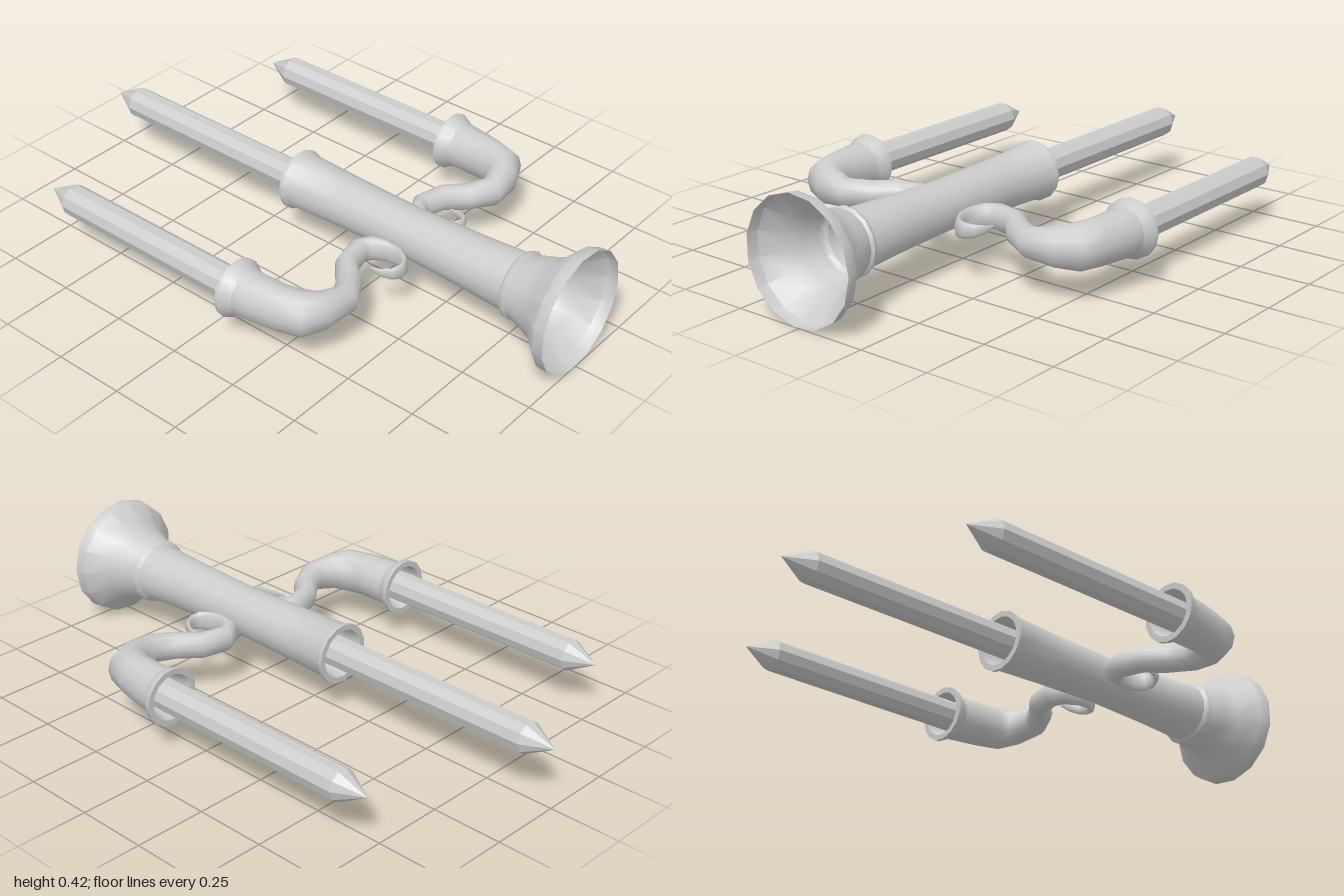
import * as THREE from 'three';
import { toCreasedNormals } from 'three/addons/utils/BufferGeometryUtils.js';

const smooth = new THREE.MeshStandardMaterial({ color: 0xcccccc, side: THREE.DoubleSide });
const faceted = new THREE.MeshStandardMaterial({ color: 0xcccccc, side: THREE.DoubleSide, flatShading: true });

// Turned part lying along z; profile is a list of [radius, z]
function turned(name, profile, sides, material = smooth) {
  const points = profile.map(([r, z]) => new THREE.Vector2(r, -z));
  let geometry = new THREE.LatheGeometry(points, sides, Math.PI / 2);
  geometry.rotateX(-Math.PI / 2);
  if (material === smooth) geometry = toCreasedNormals(geometry, 0.7);
  const mesh = new THREE.Mesh(geometry, material);
  mesh.name = name;
  return mesh;
}

// Candle: open tube with a pointed tip
function candle(name, base, shoulder, tip) {
  return turned(name, [[0.054, base], [0.054, shoulder], [0, tip]], 10, faceted);
}

// Oval tube along a path in the xz plane; stations are [x, z, half width, half height]
function sweep(name, stations, sides) {
  const positions = [], index = [];
  stations.forEach(([x, z, w, h], i) => {
    const a = stations[Math.max(i - 1, 0)];
    const b = stations[Math.min(i + 1, stations.length - 1)];
    const dx = b[0] - a[0], dz = b[1] - a[1], len = Math.hypot(dx, dz);
    for (let j = 0; j < sides; j++) {
      const t = (j / sides) * Math.PI * 2;
      const s = (Math.cos(t) * w) / len;
      positions.push(x + dz * s, Math.sin(t) * h, z - dx * s);
      if (i === 0) continue;
      const k = (j + 1) % sides, p = (i - 1) * sides, q = i * sides;
      index.push(p + j, p + k, q + j, p + k, q + k, q + j);
    }
  });
  const geometry = new THREE.BufferGeometry();
  geometry.setAttribute('position', new THREE.Float32BufferAttribute(positions, 3));
  geometry.setIndex(index);
  geometry.computeVertexNormals();
  const mesh = new THREE.Mesh(geometry, smooth);
  mesh.name = name;
  return mesh;
}

function createArm(name) {
  const arm = new THREE.Group();
  arm.name = name;

  // S-shaped branch from the cup to the flattened, curled end
  arm.add(sweep('branch', [
    [0.555, 0.13, 0.08, 0.082],
    [0.553, 0.17, 0.077, 0.08],
    [0.542, 0.27, 0.068, 0.078],
    [0.522, 0.335, 0.072, 0.077],
    [0.472, 0.372, 0.054, 0.066],
    [0.385, 0.39, 0.046, 0.05],
    [0.31, 0.345, 0.043, 0.046],
    [0.25, 0.285, 0.038, 0.045],
    [0.165, 0.263, 0.036, 0.044],
    [0.122, 0.284, 0.032, 0.043],
    [0.103, 0.335, 0.016, 0.04],
    [0.106, 0.385, 0.013, 0.037],
    [0.13, 0.425, 0.012, 0.033],
    [0.16, 0.434, 0.011, 0.028],
    [0.19, 0.42, 0.009, 0.022],
    [0.207, 0.39, 0.006, 0.015],
    [0.21, 0.35, 0.002, 0.005],
  ], 12));

  // Flared cup with a rolled rim and an inner socket
  const cup = turned('cup', [
    [0.08, 0.14], [0.085, 0.125], [0.099, 0.105], [0.1, 0.09],
    [0.08, 0.09], [0.072, 0.12], [0.065, 0.18], [0, 0.18],
  ], 15);
  const sideCandle = candle('sideCandle', 0.17, -0.65, -0.75);
  cup.position.x = sideCandle.position.x = 0.555;
  arm.add(cup, sideCandle);
  arm.position.y = 0.185;
  return arm;
}

export function createModel() {
  const model = new THREE.Group();
  model.name = 'candelabrum';

  // Hollow stem with flared foot, collar and rimmed socket
  const stem = turned('stem', [
    [0.21, 1], [0.206, 0.96], [0.145, 0.9], [0.125, 0.85], [0.108, 0.795],
    [0.116, 0.787], [0.113, 0.775], [0.101, 0.765], [0.092, 0.6],
    [0.084, 0.35], [0.089, 0.1], [0.096, -0.105], [0.105, -0.118],
    [0.105, -0.13], [0.085, -0.13], [0.08, -0.09], [0.076, 0.1],
  ], 15);
  const centreCandle = candle('centreCandle', -0.08, -0.9, -1);
  stem.position.y = centreCandle.position.y = 0.21;
  model.add(stem, centreCandle);

  // Mirrored pair of arms
  const left = createArm('leftArm');
  const right = createArm('rightArm');
  right.scale.x = -1;
  model.add(left, right);
  return model;
}
